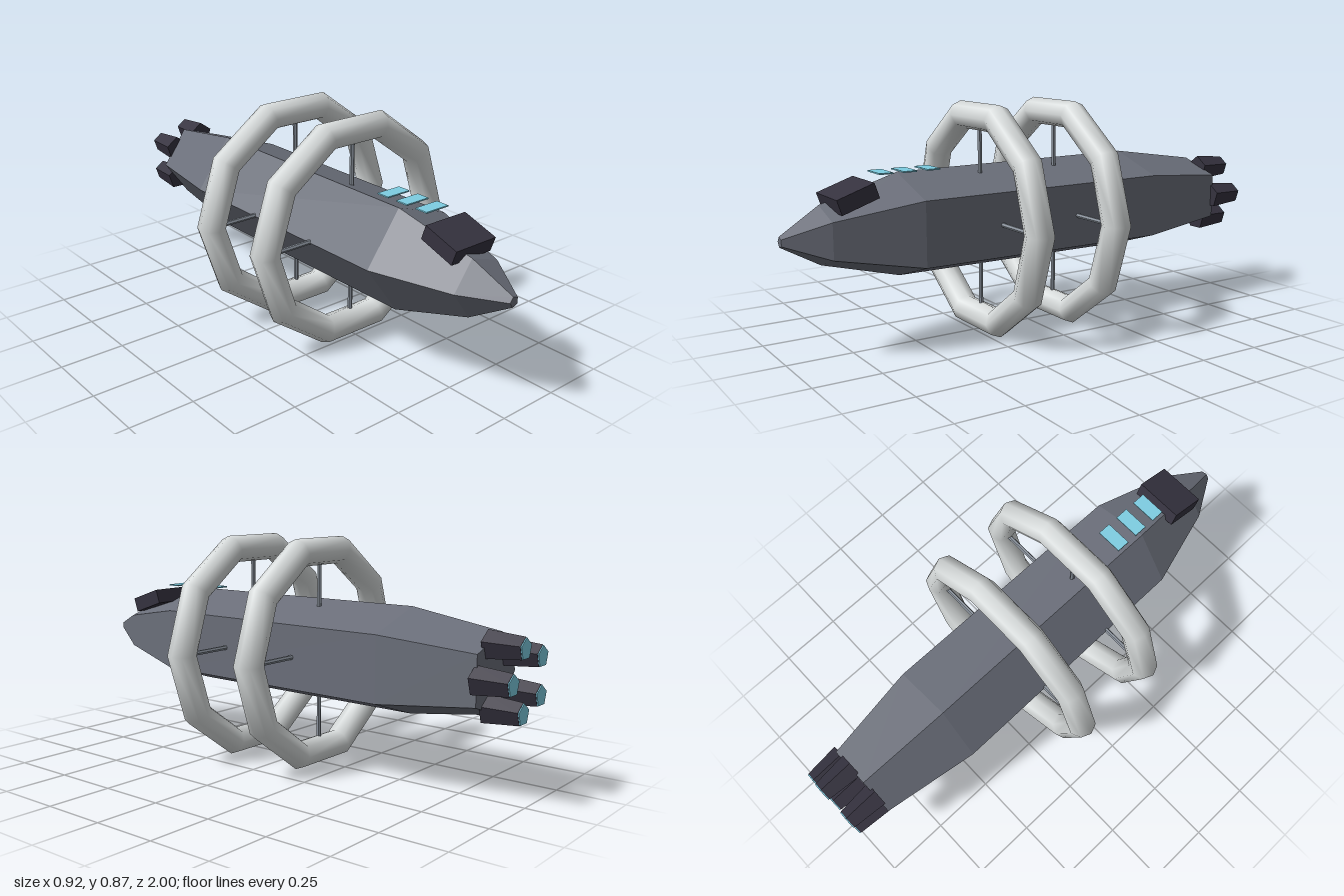
import * as THREE from 'three';

const AXIS_Y = 0.44;

export function createModel() {
  const model = new THREE.Group();
  const paint = (name, color, flatShading = true) => {
    const m = new THREE.MeshStandardMaterial({ color, flatShading });
    m.name = name;
    return m;
  };
  const hullGrey = paint('hull grey', 0x6b6f7a);
  const darkGrey = paint('dark grey', 0x35323f);
  const ringWhite = paint('ring white', 0xd8dcdc, false);
  const strutGrey = paint('strut grey', 0x8a929c);
  const glowBlue = paint('glow blue', 0x7dcde2);

  const add = (name, geometry, material, x, y, z) => {
    const mesh = new THREE.Mesh(geometry, material);
    mesh.name = name;
    mesh.position.set(x, y, z);
    model.add(mesh);
    return mesh;
  };

  // Five-sided hull, profile from stern to nose as [radius, z]
  const profile = [[0, -0.87], [0.153, -0.87], [0.21, -0.5], [0.205, 0.53], [0.113, 0.845], [0.02, 1], [0, 1]]
    .map(([r, z]) => new THREE.Vector2(r, z));
  const hull = new THREE.LatheGeometry(profile, 5, -Math.PI / 2).rotateX(Math.PI / 2);
  add('hull', hull, hullGrey, 0, AXIS_Y, 0);

  // Two ten-sided habitat rings, each on four struts
  for (const z of [0.215, -0.122]) {
    add('habitatRing', new THREE.TorusGeometry(0.405, 0.055, 8, 10), ringWhite, 0, AXIS_Y, z);
    for (let i = 0; i < 4; i++) {
      const a = i * Math.PI / 2;
      const strut = add('strut', new THREE.CylinderGeometry(0.009, 0.009, 0.28, 6), strutGrey,
        Math.cos(a) * 0.24, AXIS_Y + Math.sin(a) * 0.24, z);
      strut.rotation.z = a - Math.PI / 2;
    }
  }

  // Tilted bridge block on the nose
  const bridge = add('bridge', new THREE.BoxGeometry(0.19, 0.058, 0.148), darkGrey, 0, 0.578, 0.75);
  bridge.rotation.x = 0.33;

  // Row of thin windows over the forward hull
  for (const z of [0.437, 0.531, 0.624]) {
    add('window', new THREE.BoxGeometry(0.104, 0.005, 0.053), glowBlue, 0, 0.65, z);
  }

  // Five tapered engines with glowing outlets
  for (let i = 0; i < 5; i++) {
    const a = i * Math.PI * 2 / 5;
    const x = Math.cos(a) * 0.115, y = AXIS_Y + Math.sin(a) * 0.115;
    const nozzle = new THREE.CylinderGeometry(0.041, 0.053, 0.136, 5).rotateX(-Math.PI / 2);
    add('engine', nozzle, darkGrey, x, y, -0.928);
    const glow = new THREE.CylinderGeometry(0.039, 0.039, 0.006, 5).rotateX(-Math.PI / 2);
    add('engineGlow', glow, glowBlue, x, y, -0.997);
  }
  return model;
}
